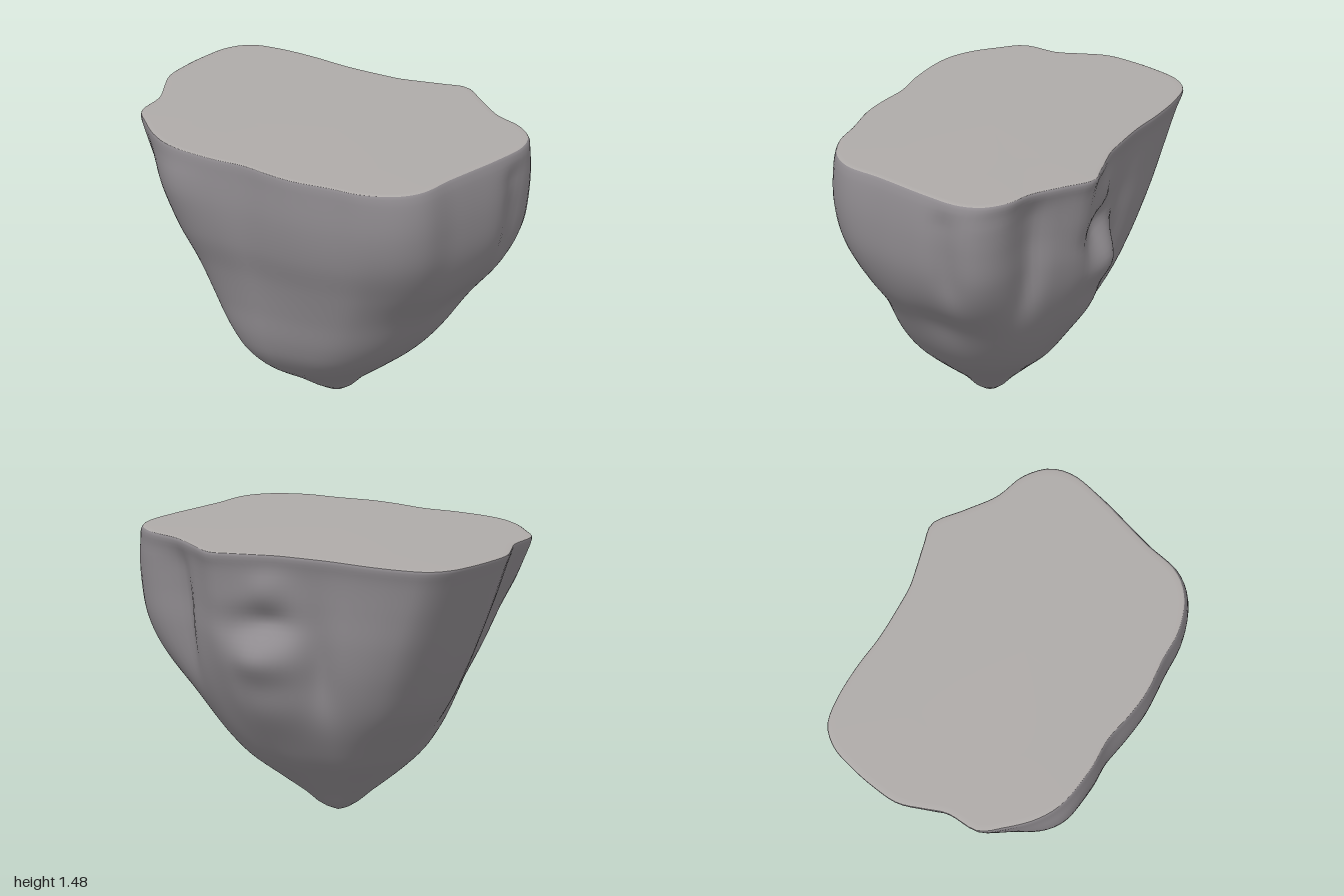
import * as THREE from 'three';

// Rim outline as seen from above: [x, z]
const OUTLINE = [
  [-1, -0.1], [-0.99, -0.25], [-0.93, -0.36], [-0.8, -0.43], [-0.6, -0.49], [-0.4, -0.53],
  [-0.2, -0.59], [-0.1, -0.625], [0.0, -0.68], [0.12, -0.75], [0.22, -0.8], [0.4, -0.74],
  [0.58, -0.68], [0.75, -0.67], [0.88, -0.61], [0.95, -0.5], [0.97, -0.3], [0.97, -0.1],
  [0.97, 0.05], [0.98, 0.25], [0.92, 0.38], [0.77, 0.5], [0.6, 0.56], [0.4, 0.64],
  [0.25, 0.67], [0.08, 0.69], [-0.1, 0.75], [-0.35, 0.79], [-0.5, 0.76], [-0.65, 0.68],
  [-0.76, 0.6], [-0.81, 0.42], [-0.88, 0.32], [-0.96, 0.2], [-0.99, 0.05],
];

// Extents of the rock by height: y, -x, +x, -z, +z
const PROFILE = [
  [0, 0.09, 0.09, 0.04, 0.04],
  [0.02, 0.03, 0.15, -0.01, 0.09],
  [0.1, -0.07, 0.24, -0.11, 0.22],
  [0.2, -0.18, 0.37, -0.24, 0.39],
  [0.3, -0.29, 0.49, -0.37, 0.49],
  [0.4, -0.38, 0.58, -0.46, 0.54],
  [0.6, -0.56, 0.72, -0.59, 0.59],
  [0.8, -0.68, 0.87, -0.68, 0.65],
  [1.0, -0.78, 0.96, -0.73, 0.73],
  [1.2, -0.87, 0.99, -0.75, 0.775],
  [1.4, -0.96, 0.98, -0.78, 0.785],
  [1.46, -0.99, 0.965, -0.8, 0.785],
  [1.48, -0.995, 0.955, -0.795, 0.78],
];

// Swellings and hollows: x, y, z, radius across, radius up, push outwards
const BUMPS = [
  [0.0, 0.91, -0.58, 0.16, 0.12, 0.09],     // ledge on the back
  [0.02, 0.68, -0.5, 0.16, 0.2, 0.05],      // lobe below the ledge
  [0.02, 1.1, -0.65, 0.17, 0.08, -0.06],    // hollow above the ledge
  [-0.04, 1.28, -0.63, 0.1, 0.1, 0.03],     // knob under the rim
  [-0.26, 0.85, -0.48, 0.09, 0.35, -0.05],  // crease beside the ledge
  [0.54, 1.05, -0.64, 0.08, 0.38, -0.05],   // groove on the back
  [0.94, 1.15, -0.42, 0.08, 0.35, -0.05],   // groove on the side
  [0.73, 0.7, -0.2, 0.15, 0.18, -0.035],    // its lower end
  [0.78, 1.1, -0.58, 0.14, 0.4, 0.03],      // pillar between the grooves
  [0.75, 0.75, 0.3, 0.25, 0.35, -0.04],     // flattened front corner
  [-0.6, 1.05, 0.5, 0.18, 0.28, -0.06],     // hollow beside the front face
  [-0.42, 0.7, 0.4, 0.16, 0.25, -0.05],     // its lower end
  [-0.33, 1.27, 0.76, 0.16, 0.15, 0.02],    // swelling on the front ridge
];

const TIP = { x: 0.09, z: 0.04 };
const SEGMENTS = 140;

const extentsAt = new THREE.CubicInterpolant(
  PROFILE.map((row) => row[0]), PROFILE.flatMap((row) => row.slice(1)), 4, new Float32Array(4));

const rim = new THREE.CatmullRomCurve3(
  OUTLINE.map(([x, z]) => new THREE.Vector3(x, 0, z)), true).getSpacedPoints(SEGMENTS).slice(0, SEGMENTS);

// Softer outline for the lower part: a moving average of the rim
const softRim = rim.map((_, i) => {
  const reach = 10, sum = new THREE.Vector3();
  for (let k = -reach; k <= reach; k++) sum.add(rim[(i + k + SEGMENTS) % SEGMENTS]);
  return sum.multiplyScalar(1.04 / (2 * reach + 1));
});

// Rim point i shrunk towards the tip axis to the extents at height y
function rockPoint(i, y) {
  const p = softRim[i].clone().lerp(rim[i], THREE.MathUtils.smoothstep(y, 0.3, 1.4));
  const [left, right, back, front] = extentsAt.evaluate(y);
  const dx = p.x - TIP.x, dz = p.z - TIP.z;
  const kx = dx < 0 ? (left - TIP.x) / (-1 - TIP.x) : (right - TIP.x) / (0.98 - TIP.x);
  const kz = dz < 0 ? (back - TIP.z) / (-0.8 - TIP.z) : (front - TIP.z) / (0.79 - TIP.z);
  const v = new THREE.Vector3(TIP.x + dx * kx, y, TIP.z + dz * kz);
  const out = new THREE.Vector3(v.x - TIP.x, 0, v.z - TIP.z).normalize();
  let push = 0;
  for (const [bx, by, bz, across, up, amount] of BUMPS) {
    const d = ((v.x - bx) ** 2 + (v.z - bz) ** 2) / across ** 2 + ((y - by) / up) ** 2;
    push += amount * Math.exp(-d);
  }
  return v.addScaledVector(out, push * THREE.MathUtils.smoothstep(1.48 - y, 0, 0.15));
}

const ringAt = (y) => rim.map((_, i) => rockPoint(i, y));

// The rim ring drawn in towards the axis by factor k
const topRing = (k, y) => ringAt(1.475).map((v) =>
  new THREE.Vector3(TIP.x + (v.x - TIP.x) * k, y, TIP.z + (v.z - TIP.z) * k));

function skinMesh(name, rings, color) {
  const indices = [];
  for (let i = 0; i < rings.length - 1; i++) {
    for (let j = 0; j < SEGMENTS; j++) {
      const a = i * SEGMENTS + j, b = i * SEGMENTS + (j + 1) % SEGMENTS;
      indices.push(a, a + SEGMENTS, b, b, a + SEGMENTS, b + SEGMENTS);
    }
  }
  const geometry = new THREE.BufferGeometry();
  geometry.setAttribute('position',
    new THREE.Float32BufferAttribute(rings.flat().flatMap((v) => [v.x, v.y, v.z]), 3));
  geometry.setIndex(indices);
  geometry.computeVertexNormals();
  const mesh = new THREE.Mesh(geometry, new THREE.MeshStandardMaterial({ color }));
  mesh.name = name;
  return mesh;
}

export function createModel() {
  const group = new THREE.Group();
  group.name = 'floatingRock';

  // Dark rock sides from the tip up to the rim
  const heights = [0.0005, 0.008, 0.02, 0.045, 0.07];
  for (let y = 0.1; y < 1.43; y += 0.03) heights.push(y);
  heights.push(1.44, 1.46, 1.47);
  group.add(skinMesh('rockSides', [...heights.map(ringAt), topRing(0.998, 1.476)], 0x908c90));

  // Paler flat top with a softened edge
  const top = [[0.998, 1.476], [0.99, 1.48], [0.96, 1.481], [0.6, 1.481], [0.001, 1.483]];
  group.add(skinMesh('flatTop', top.map(([k, y]) => topRing(k, y)), 0xaeaaa8));
  return group;
}
